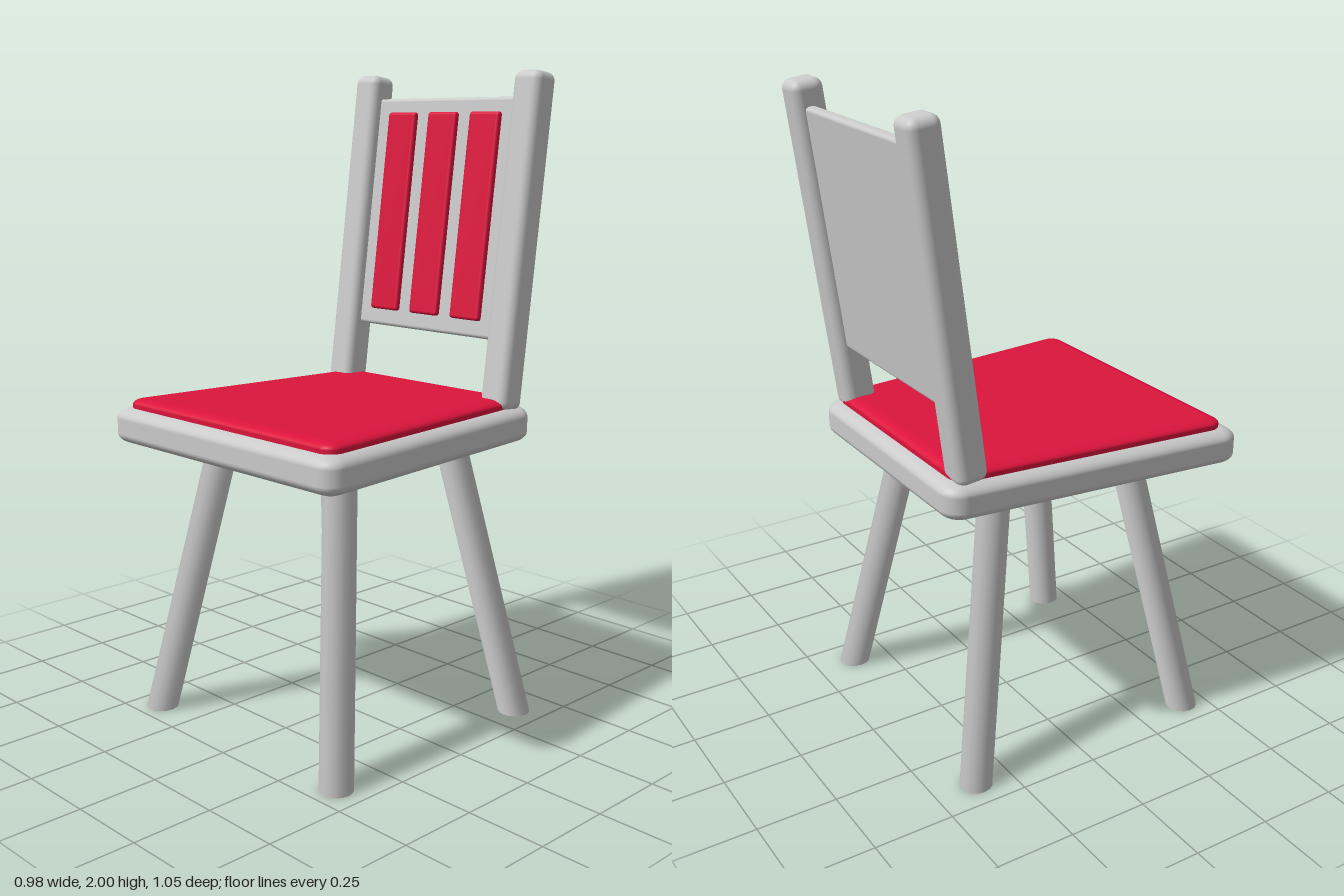
import * as THREE from 'three';
import { RoundedBoxGeometry } from 'three/addons/geometries/RoundedBoxGeometry.js';

const grey = new THREE.MeshStandardMaterial({ color: 0xcacaca });
grey.name = 'greyFrame';
const red = new THREE.MeshStandardMaterial({ color: 0xdc143c });
red.name = 'redUpholstery';

function add(parent, name, geometry, material, x = 0, y = 0, z = 0) {
  const mesh = new THREE.Mesh(geometry, material);
  mesh.name = name;
  mesh.position.set(x, y, z);
  parent.add(mesh);
  return mesh;
}

// Rounded slab between two heights and depths, narrowing towards the back
function taperedSlab(frontHalf, y0, y1, z0, z1, radius, squash) {
  const g = new RoundedBoxGeometry(2, (y1 - y0) / squash, z1 - z0, 4, radius);
  g.scale(1, squash, 1);
  g.translate(0, (y0 + y1) / 2, (z0 + z1) / 2);
  const p = g.attributes.position;
  for (let i = 0; i < p.count; i++) {
    const half = frontHalf + 0.1 * (p.getZ(i) - 0.45);
    const x = p.getX(i);
    // keep the edge radius, move only the sides inwards
    const inner = 1 - radius;
    const core = Math.max(-inner, Math.min(inner, x));
    p.setX(i, (core / inner) * (half - radius) + (x - core));
  }
  return g;
}

// Splayed leg with a level foot, running between two centre points
function legGeometry(foot, top, height) {
  const g = new THREE.CylinderGeometry(0.05, 0.05, height, 16);
  g.translate(0, height / 2, 0);
  const p = g.attributes.position;
  for (let i = 0; i < p.count; i++) {
    const t = p.getY(i) / height;
    p.setX(i, p.getX(i) + foot[0] + (top[0] - foot[0]) * t);
    p.setZ(i, p.getZ(i) + foot[1] + (top[1] - foot[1]) * t);
  }
  return g;
}

export function createModel() {
  const chair = new THREE.Group();
  chair.name = 'chair';

  // Seat and cushion
  add(chair, 'seat', taperedSlab(0.49, 0.87, 0.985, -0.435, 0.525, 0.06, 0.575), grey);
  add(chair, 'seatCushion', taperedSlab(0.453, 0.95, 1.012, -0.395, 0.487, 0.045, 0.4), red);

  // Four splayed legs
  for (const side of [-1, 1]) {
    const suffix = side > 0 ? 'Left' : 'Right';
    add(chair, 'frontLeg' + suffix, legGeometry([0.405 * side, 0.42], [0.255 * side, 0.26], 0.9), grey);
    add(chair, 'backLeg' + suffix, legGeometry([0.405 * side, -0.363], [0.255 * side, -0.2], 0.9), grey);
  }

  // Backrest, leaning backwards from the seat
  const back = new THREE.Group();
  back.name = 'backrest';
  back.position.set(0, 0.98, -0.343);
  back.rotation.x = -0.13;
  chair.add(back);

  for (const side of [-1, 1]) {
    add(back, side > 0 ? 'postLeft' : 'postRight',
      new RoundedBoxGeometry(0.1, 1.03, 0.1, 4, 0.028), grey, 0.338 * side, 0.507, 0);
  }
  add(back, 'backPanel', new RoundedBoxGeometry(0.62, 0.745, 0.036, 3, 0.012), grey, 0, 0.575, -0.005);

  // Padded stripes on the panel
  for (const x of [-0.175, 0, 0.175]) {
    add(back, 'backPad', new RoundedBoxGeometry(0.12, 0.645, 0.032, 3, 0.01), red, x, 0.578, 0.014);
  }
  return chair;
}
